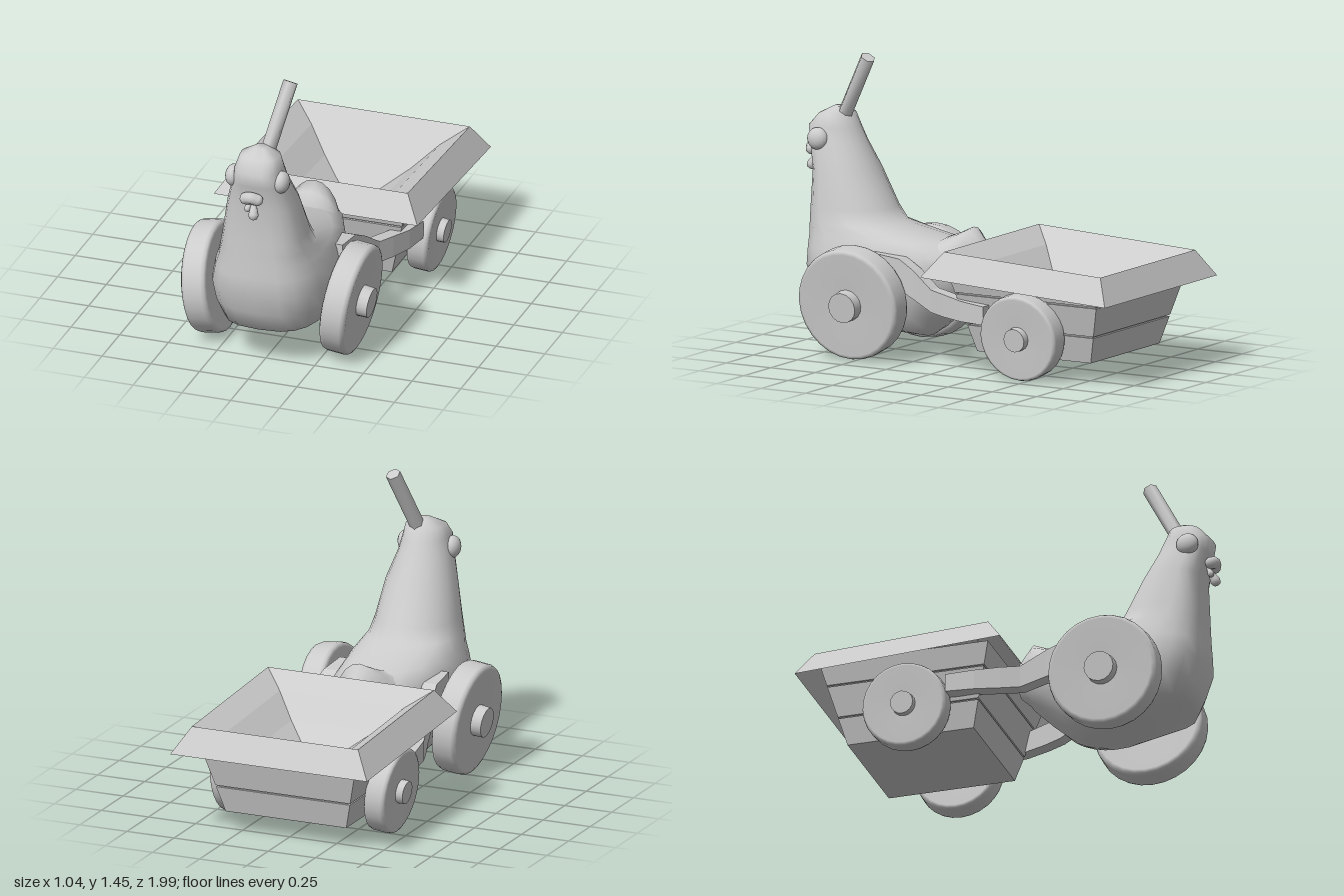
import * as THREE from 'three';
import { toCreasedNormals } from 'three/addons/utils/BufferGeometryUtils.js';

const smooth = new THREE.MeshStandardMaterial({ color: 0xcccccc, side: THREE.DoubleSide });
const flat = new THREE.MeshStandardMaterial({ color: 0xcccccc, flatShading: true, side: THREE.DoubleSide });

function add(parent, name, geometry, material, position = [0, 0, 0]) {
  const mesh = new THREE.Mesh(geometry, material);
  mesh.name = name;
  mesh.position.set(...position);
  parent.add(mesh);
  return mesh;
}

const lathe = (profile, sides, start = 0) =>
  new THREE.LatheGeometry(profile.map(p => new THREE.Vector2(...p)), sides, start);

// Skin over rings of points, closed at both ends
function skin(rings) {
  const n = rings[0].length, pos = [], idx = [];
  rings.forEach(r => r.forEach(p => pos.push(...p)));
  for (let i = 0; i < rings.length - 1; i++)
    for (let j = 0; j < n; j++) {
      const a = i * n + j, b = i * n + (j + 1) % n;
      idx.push(a, b, a + n, b, b + n, a + n);
    }
  const last = (rings.length - 1) * n;
  for (let j = 1; j < n - 1; j++) {
    idx.push(0, j + 1, j);
    idx.push(last, last + j, last + j + 1);
  }
  const g = new THREE.BufferGeometry();
  g.setAttribute('position', new THREE.Float32BufferAttribute(pos, 3));
  g.setIndex(idx);
  g.computeVertexNormals();
  return g;
}

// One point per step around a ring, from the sine and cosine of its angle
const ring = point => Array.from({ length: 20 }, (_, j) => {
  const a = j / 20 * Math.PI * 2;
  return point(Math.sin(a), Math.cos(a));
});

// Horizontal body sections: [y, front z, back z, widest z, half width], blunt in front
const bodySkin = sections => skin(sections.map(([y, f, b, c, w]) => ring((s, k) => k < 0
  ? [w * s, y, c + (c - b) * k]
  : [w * Math.sign(s) * Math.abs(s) ** 0.7, y, c + (f - c) * k ** 0.7])));

// Upright tail sections: [z, top, bottom, widest y, half width]
const tailSkin = sections => skin(sections.map(([z, t, b, c, w]) =>
  ring((s, k) => [w * s, c + (k > 0 ? t - c : c - b) * k, z])));

// Square, flat-sided turning of a [half width, y] profile
const squareTurn = profile => lathe(profile.map(([h, y]) => [h * Math.SQRT2, y]), 4, Math.PI / 4);

// Wheel turned on the x axis, leaning outward at the top
function wheel(parent, name, x, y, z, r, t, lean, hubOut) {
  const g = new THREE.Group();
  g.name = name;
  g.position.set(x, y, z);
  g.rotation.z = -Math.PI / 2 - lean;
  add(g, 'tyre', lathe([[0, -0.42 * t], [0.25 * r, -0.42 * t], [0.92 * r, -0.5 * t], [0.98 * r, -0.44 * t],
    [r, -0.32 * t], [r, 0.32 * t], [0.98 * r, 0.44 * t], [0.92 * r, 0.5 * t], [0.25 * r, 0.42 * t],
    [0, 0.42 * t]], 28), smooth);
  const hub = new THREE.CylinderGeometry(0.27 * r, 0.29 * r, hubOut, 16);
  add(g, 'hub', toCreasedNormals(hub, 0.7), smooth, [0, hubOut / 2, 0]);
  parent.add(g);
}

export function createModel() {
  const model = new THREE.Group();
  model.name = 'birdWithCart';

  // Bird body, neck and head in one skin
  const bird = new THREE.Group();
  bird.name = 'bird';
  model.add(bird);
  add(bird, 'body', bodySkin([
    [0.088, 0.33, 0.29, 0.31, 0.03],
    [0.13, 0.56, 0.23, 0.4, 0.195],
    [0.20, 0.855, 0.15, 0.52, 0.245],
    [0.30, 0.893, 0.05, 0.56, 0.278],
    [0.41, 0.93, -0.02, 0.58, 0.288],
    [0.50, 0.928, -0.02, 0.6, 0.268],
    [0.56, 0.925, 0.16, 0.62, 0.246],
    [0.62, 0.922, 0.46, 0.7, 0.222],
    [0.69, 0.92, 0.51, 0.73, 0.205],
    [0.87, 0.915, 0.605, 0.77, 0.172],
    [1.00, 0.945, 0.675, 0.82, 0.13],
    [1.07, 0.96, 0.71, 0.83, 0.115],
    [1.13, 0.905, 0.74, 0.82, 0.098],
    [1.165, 0.84, 0.78, 0.81, 0.03]
  ]), smooth);

  // Broad back rising into the upturned tail
  add(bird, 'tail', tailSkin([
    [0.5, 0.61, 0.2, 0.42, 0.25],
    [0.36, 0.598, 0.2, 0.42, 0.24],
    [0.22, 0.572, 0.22, 0.42, 0.207],
    [0.13, 0.607, 0.25, 0.43, 0.17],
    [0.06, 0.64, 0.3, 0.44, 0.13],
    [-0.015, 0.56, 0.37, 0.45, 0.06],
    [-0.03, 0.49, 0.43, 0.46, 0.02]
  ]), smooth);

  // Leaning handle on the head
  const from = new THREE.Vector3(0.015, 1.1, 0.79), to = new THREE.Vector3(0.076, 1.43, 0.61);
  const dir = to.clone().sub(from);
  const handle = add(bird, 'handle', toCreasedNormals(new THREE.CylinderGeometry(0.037, 0.037, dir.length(), 6), 1.2),
    smooth, from.clone().lerp(to, 0.5).toArray());
  handle.quaternion.setFromUnitVectors(new THREE.Vector3(0, 1, 0), dir.normalize());

  // Beak, an arched roll, with two hanging drop-shaped wattles
  const arch = new THREE.CatmullRomCurve3([[-0.03, 0.944, 0.955], [0, 0.954, 0.965], [0.03, 0.944, 0.955]]
    .map(p => new THREE.Vector3(...p)));
  add(bird, 'beak', new THREE.TubeGeometry(arch, 8, 0.03, 10), smooth);
  for (const s of [-1, 1])
    add(bird, 'beakEnd', new THREE.SphereGeometry(0.029, 12, 8), smooth, [s * 0.03, 0.944, 0.955]);
  for (const [x, r, length, turn] of [[-0.006, 0.017, 0.07, -0.3], [0.004, 0.026, 0.105, 0.12]]) {
    const drop = lathe([[0, -length], [0.7 * r, -length + 0.3 * r], [r, -length + r],
      [0.75 * r, -length + 2 * r], [0.45 * r, -0.2 * length], [0.4 * r, 0.01]], 12);
    add(bird, 'wattle', drop, smooth, [x, 0.935, 0.93]).rotation.set(-0.45, 0, turn);
  }

  // Paired parts: eyes, wheels and drawbars
  for (const s of [1, -1]) {
    const side = new THREE.Group();
    side.name = s > 0 ? 'leftSide' : 'rightSide';
    side.scale.x = s;
    model.add(side);
    add(side, 'eye', new THREE.SphereGeometry(0.055, 16, 12), smooth, [0.122, 1.015, 0.865]).scale.x = 0.74;
    wheel(side, 'frontWheel', 0.355, 0.281, 0.525, 0.276, 0.13, 0.126, 0.108);
    wheel(side, 'rearWheel', 0.41, 0.214, -0.465, 0.212, 0.11, 0.1, 0.083);

    // Drawbar sections: [x, y, z, height]
    const bar = [[0.252, 0.46, 0.46, 0.12], [0.262, 0.43, 0.3, 0.15], [0.28, 0.39, 0.21, 0.14],
      [0.31, 0.325, 0.09, 0.11], [0.345, 0.317, 0.0, 0.11], [0.385, 0.307, -0.12, 0.1], [0.405, 0.3, -0.26, 0.09]];
    add(side, 'drawbar', skin(bar.map(([x, y, z, h]) => [[-1, -1], [-1, 1], [1, 1], [1, -1]]
      .map(([u, v]) => [x + u * 0.037, y + v * h / 2, z]))), flat);
  }

  // Cart box of three planked rows with narrow grooves between them
  const cart = new THREE.Group();
  cart.name = 'cart';
  cart.position.z = -0.475;
  model.add(cart);
  const half = y => 0.32 + (y - 0.1) * 0.27;
  const planks = [[0, 0.1]];
  for (const [lo, hi] of [[0.1, 0.23], [0.238, 0.385], [0.393, 0.5]])
    planks.push([half(lo) - 0.012, lo], [half(lo), lo], [half(hi), hi], [half(hi) - 0.012, hi]);
  add(cart, 'plankBox', squareTurn(planks), flat);

  // Flared rim and funnel-shaped inside, dropping slightly to the rear
  const hopper = add(cart, 'hopper', squareTurn([
    [0.522, 0.447], [0.441, 0.573], [0.33, 0.505], [0.22, 0.405], [0.055, 0.29], [0, 0.29]
  ]), flat);
  hopper.rotation.x = -0.05;
  hopper.position.z = 0.022;

  return model;
}
